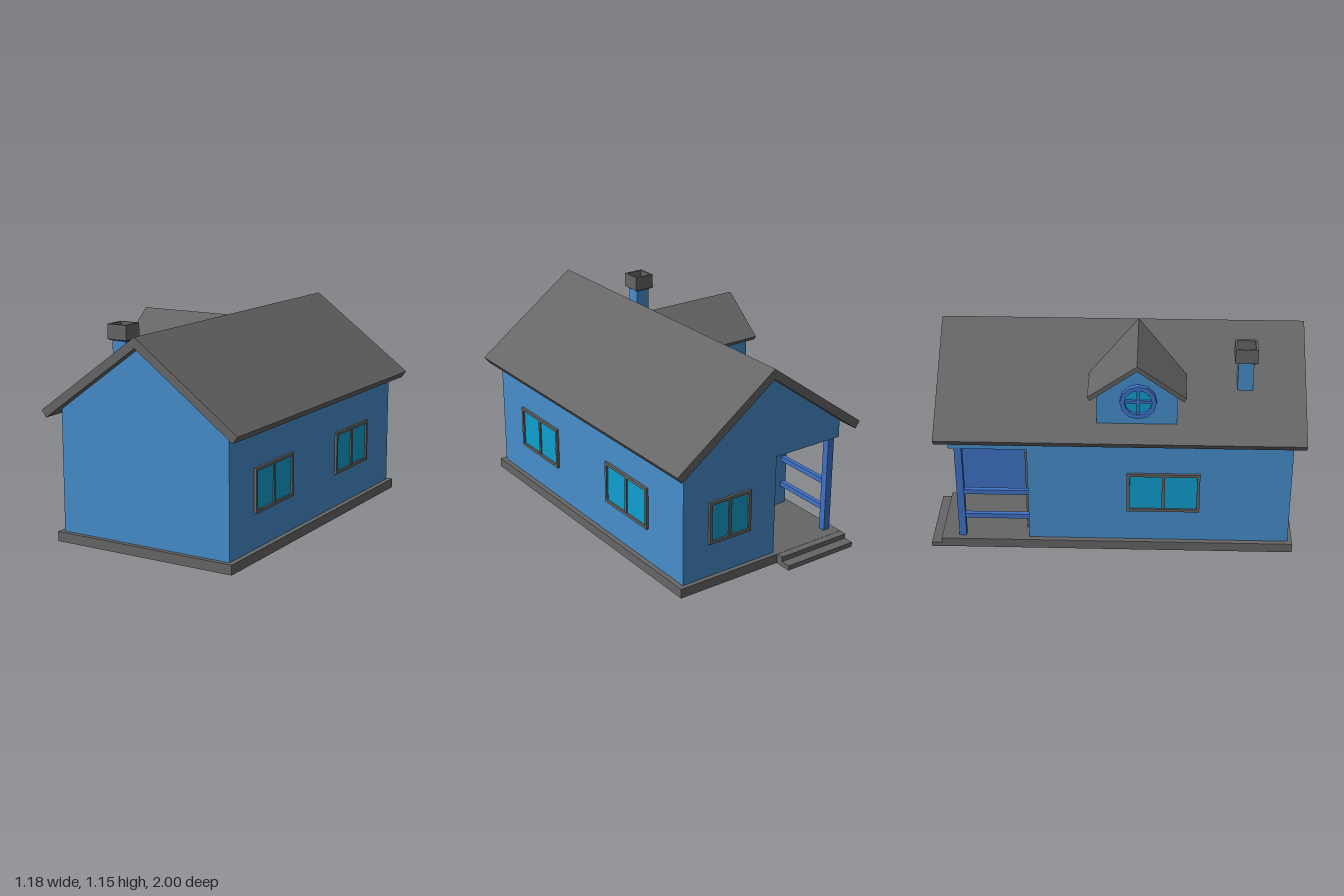
import * as THREE from 'three';

const mat = (name, color, side = THREE.FrontSide) => {
  const m = new THREE.MeshStandardMaterial({ color, side });
  m.name = name;
  return m;
};

export function createModel() {
  const wall = mat('wall blue', 0x478ecc);
  const grey = mat('roof grey', 0x666666);
  const trim = mat('trim blue', 0x3f72c8);
  const glass = mat('glass cyan', 0x0fa0d0);
  const house = new THREE.Group();
  house.name = 'house';

  const add = (name, geo, m, parent = house) => {
    const mesh = new THREE.Mesh(geo, m);
    mesh.name = name;
    parent.add(mesh);
    return mesh;
  };
  // box given by its minimum and maximum on each axis
  const box = (name, m, x0, x1, y0, y1, z0, z1, parent = house) => {
    const b = add(name, new THREE.BoxGeometry(x1 - x0, y1 - y0, z1 - z0), m, parent);
    b.position.set((x0 + x1) / 2, (y0 + y1) / 2, (z0 + z1) / 2);
    return b;
  };
  const poly = (pts) => new THREE.Shape(pts.map(([x, y]) => new THREE.Vector2(x, y)));
  const prism = (shape, z0, z1) =>
    new THREE.ExtrudeGeometry(shape, { depth: z1 - z0, bevelEnabled: false, curveSegments: 6 }).translate(0, 0, z0);
  const rectRing = (w, h, t) => {
    const r = (a, b) => [[-a, -b], [a, -b], [a, b], [-a, b]];
    const s = poly(r(w / 2, h / 2));
    s.holes.push(poly(r(w / 2 - t, h / 2 - t).reverse()));
    return s;
  };
  // bent roof section: ridge height, eave half-width and height, edge offset
  const chevron = (top, half, eave, dx, dy, under) => poly([
    [0, top], [-half, eave], [-half + dx, eave - dy], [0, under], [half - dx, eave - dy], [half, eave],
  ]);

  // Foundation, floor underside and porch steps
  box('foundation', grey, -0.535, 0.535, 0.002, 0.055, -0.905, 0.965);
  box('foundationUnderside', wall, -0.515, 0.515, 0, 0.003, -0.885, 0.945);
  box('upperStep', grey, -0.535, -0.09, 0.002, 0.054, -0.945, -0.9);
  box('lowerStep', grey, -0.535, -0.09, 0, 0.027, -1, -0.9);

  // Walls: full gable section, then the section with the porch cut out
  const gable = [[0.507, 0.05], [0.507, 0.714], [0, 1.09], [-0.507, 0.714]];
  add('mainWalls', prism(poly([...gable, [-0.507, 0.05]]), -0.465, 0.94), wall);
  add('porchWalls', prism(poly([...gable, [-0.507, 0.62], [-0.08, 0.62], [-0.08, 0.05]]), -0.88, -0.465), wall);
  box('porchSideLining', trim, -0.084, -0.079, 0.055, 0.62, -0.879, -0.465);
  box('porchCeiling', trim, -0.506, -0.08, 0.616, 0.621, -0.879, -0.465);

  // Main roof
  add('mainRoof', prism(chevron(1.142, 0.59, 0.712, 0.028, 0.037, 1.086), -0.945, 1), grey);

  // Porch post and rails
  box('porchPost', trim, -0.502, -0.463, 0.055, 0.62, -0.85, -0.811);
  for (const y of [0.18, 0.335]) box('porchRail', trim, -0.495, -0.47, y - 0.014, y + 0.014, -0.815, -0.463);

  // Door on the inner porch wall
  const door = new THREE.Group();
  door.name = 'door';
  house.add(door);
  add('doorFrame', prism(rectRing(0.25, 0.49, 0.025), 0, 0.02), grey, door);
  add('doorLeaf', new THREE.BoxGeometry(0.2, 0.44, 0.01), grey, door).position.z = 0.004;
  add('doorPanel', prism(rectRing(0.15, 0.38, 0.02), 0, 0.015), grey, door);
  door.position.set(-0.292, 0.3, -0.465);
  door.rotation.y = Math.PI;

  // Two-pane windows
  const addWindow = (w, x, z, turn) => {
    const g = new THREE.Group();
    g.name = 'window';
    const h = 0.237;
    add('windowFrame', prism(rectRing(w, h, 0.016), -0.002, 0.014), grey, g);
    box('windowMullion', grey, -0.008, 0.008, -h / 2 + 0.01, h / 2 - 0.01, 0, 0.012, g);
    box('windowGlass', glass, -w / 2 + 0.01, w / 2 - 0.01, -h / 2 + 0.01, h / 2 - 0.01, -0.002, 0.004, g);
    g.position.set(x, 0.363, z);
    g.rotation.y = turn;
    house.add(g);
  };
  addWindow(0.39, 0.507, 0.505, Math.PI / 2);
  addWindow(0.39, 0.507, -0.38, Math.PI / 2);
  addWindow(0.39, -0.507, 0.26, -Math.PI / 2);
  addWindow(0.266, 0.217, -0.88, Math.PI);

  // Dormer: walls and roof run along x into the main roof
  const dormer = new THREE.Group();
  dormer.name = 'dormer';
  dormer.position.z = 0.115;
  house.add(dormer);
  const dormerWall = poly([[0.21, 0.755], [0.21, 0.965], [0, 1.115], [-0.21, 0.965], [-0.21, 0.755]]);
  add('dormerWalls', prism(dormerWall, 0.05, 0.495).rotateY(-Math.PI / 2), wall, dormer);
  const roofGeo = prism(chevron(1.142, 0.256, 0.952, 0.013, 0.021, 1.112), 0, 0.54).rotateY(-Math.PI / 2);
  const p = roofGeo.attributes.position;
  for (let i = 0; i < p.count; i++) {
    // lean the front edge back towards the eaves
    if (p.getX(i) < -0.5) p.setX(i, -0.54 + (1.142 - p.getY(i)) * 0.07);
  }
  roofGeo.computeVertexNormals();
  add('dormerRoof', roofGeo, grey, dormer);

  // Round dormer window
  const round = new THREE.Group();
  round.name = 'roundWindow';
  const ring = new THREE.Shape().absarc(0, 0, 0.096, 0, Math.PI * 2);
  ring.holes.push(new THREE.Path().absarc(0, 0, 0.072, 0, Math.PI * 2, true));
  add('roundFrame', prism(ring, -0.002, 0.026), trim, round);
  add('roundGlass', new THREE.CircleGeometry(0.075, 16), glass, round).position.z = 0.006;
  box('roundBarUpright', trim, -0.008, 0.008, -0.075, 0.075, 0, 0.02, round);
  box('roundBarLevel', trim, -0.075, 0.075, -0.008, 0.008, 0, 0.019, round);
  round.position.set(-0.495, 0.92, 0.007);
  round.rotation.y = -Math.PI / 2;
  dormer.add(round);

  // Chimney with a hollow cap
  const chimney = new THREE.Group();
  chimney.name = 'chimney';
  chimney.position.set(-0.293, 0, 0.68);
  house.add(chimney);
  box('chimneyStack', wall, -0.041, 0.041, 0.86, 1.065, -0.041, 0.041, chimney);
  const flare = new THREE.CylinderGeometry(0.059 * Math.SQRT2, 0.05 * Math.SQRT2, 0.008, 4).rotateY(Math.PI / 4);
  add('capFlare', flare.toNonIndexed(), grey, chimney).position.y = 1.064;
  flare.computeVertexNormals();
  add('chimneyCap', prism(rectRing(0.118, 0.118, 0.012), 0, 0.08).rotateX(-Math.PI / 2), grey, chimney).position.y = 1.066;
  box('capFloor', grey, -0.05, 0.05, 1.066, 1.075, -0.05, 0.05, chimney);

  return house;
}
